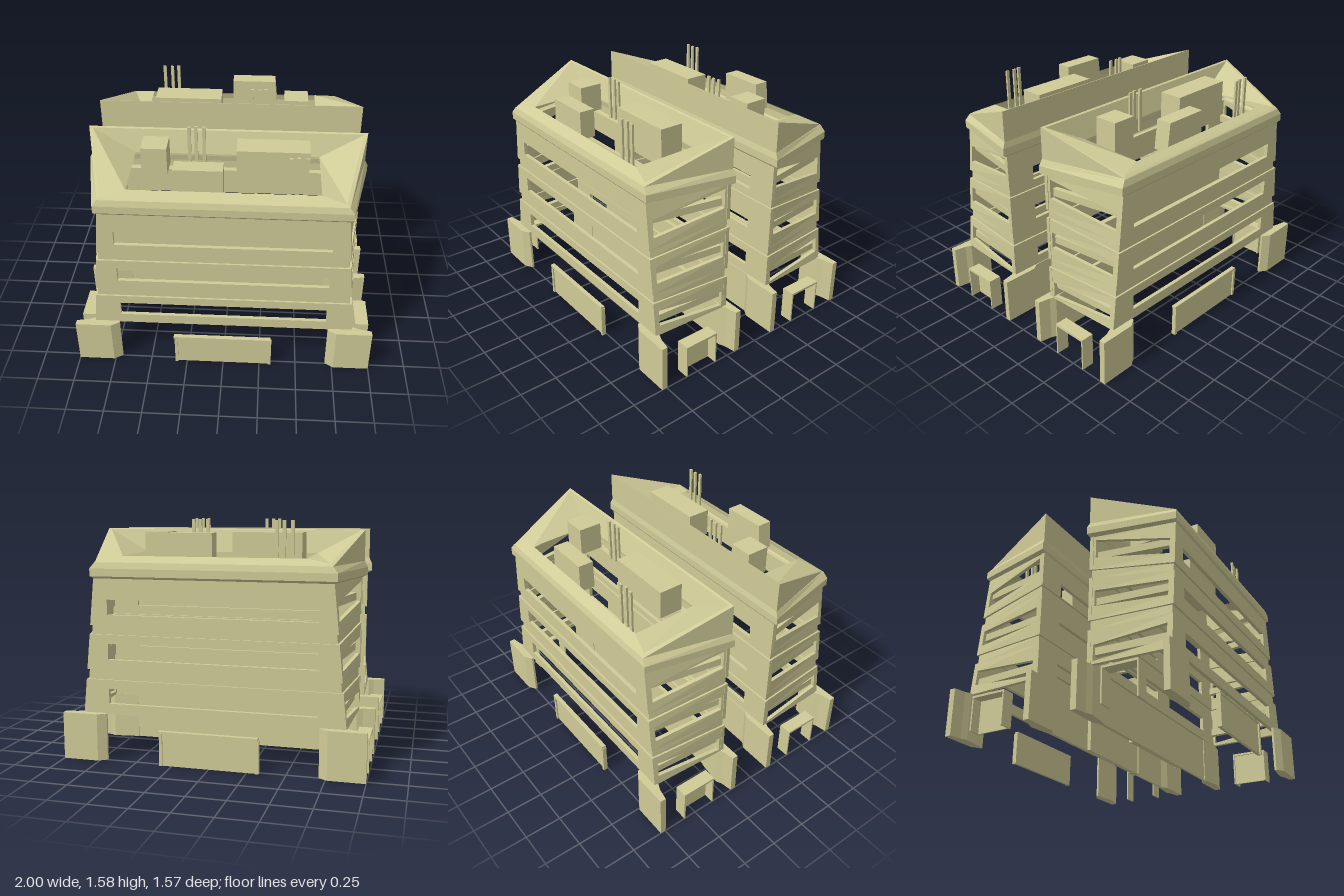
import * as THREE from 'three';

const concrete = new THREE.MeshStandardMaterial({ color: 0xd0cc98, side: THREE.DoubleSide });
concrete.name = 'paleConcrete';

const ZI = 0.18, ZO = 0.735; // courtyard-side and street-side wall planes

function add(parent, name, geometry) {
  const mesh = new THREE.Mesh(geometry, concrete);
  mesh.name = name;
  parent.add(mesh);
  return mesh;
}

function box(parent, name, x0, x1, y0, y1, z0, z1) {
  const g = new THREE.BoxGeometry(x1 - x0, y1 - y0, z1 - z0);
  g.translate((x0 + x1) / 2, (y0 + y1) / 2, (z0 + z1) / 2);
  return add(parent, name, g);
}

// Flat-shaded skin through a list of closed rings
function loft(rings) {
  const pos = [];
  for (let r = 0; r + 1 < rings.length; r++) {
    const a = rings[r], b = rings[r + 1], n = a.length;
    for (let i = 0; i < n; i++) {
      const j = (i + 1) % n;
      pos.push(...a[i], ...a[j], ...b[j], ...a[i], ...b[j], ...b[i]);
    }
  }
  const g = new THREE.BufferGeometry();
  g.setAttribute('position', new THREE.Float32BufferAttribute(pos, 3));
  g.computeVertexNormals();
  return g;
}

// Thick wall with one four-sided opening
function openWall(outer, hole, d) {
  const inset = ring => ring.map(p => p.map((v, k) => v + d[k]));
  return loft([outer, hole, inset(hole), inset(outer), outer]);
}

// Half-width of the tower: upright on the courtyard, tapering on the street
const streetX = y => 0.87 - 0.1 * (y - 0.31);
const halfX = (y, z) => THREE.MathUtils.lerp(0.895, streetX(y), (z - ZI) / (ZO - ZI));

// Trapezium ring: street edge then courtyard edge
const trapezium = (xo, yo, zo, xi, yi, zi) =>
  [[-xo, yo, zo], [xo, yo, zo], [xi, yi, zi], [-xi, yi, zi]];

const tiers = [
  { street: [0.31, 0.54], court: [0.31, 0.54], slot: [0.38, 0.48],
    winStreet: [0.375, 0.48], winCourt: [0.33, 0.435], bar: 0.38 },
  { street: [0.605, 0.84], court: [0.605, 0.905], slot: [0.675, 0.78],
    winStreet: [0.67, 0.78], winCourt: [0.7, 0.81], bar: 0.72 },
  { street: [0.9, 1.215], court: [0.965, 1.215], slot: [0.97, 1.07],
    winStreet: [0.975, 1.09], winCourt: [1.05, 1.18], bar: 1.055 },
];

function addTier(parent, t) {
  const at = (y, z) => [halfX(y, z), y, z];
  const flipX = ring => ring.map(([x, y, z]) => [-x, y, z]).reverse();

  // Long walls with a ribbon window
  const longWall = (z, [y0, y1]) => {
    const rect = (a, b, c, d) => [[-a, c, z], [a, c, z], [b, d, z], [-b, d, z]];
    return [rect(halfX(y0, z), halfX(y1, z), y0, y1), rect(0.69, 0.69, t.slot[0], t.slot[1])];
  };
  add(parent, 'streetWall', openWall(...longWall(ZO, t.street), [0, 0, -0.025]));
  const [wall, slot] = longWall(ZI, t.court);
  add(parent, 'courtyardWall', openWall(wall.reverse(), slot.reverse(), [0, 0, 0.025]));

  // End walls with slanted windows
  const frame = [at(t.street[0], ZO), at(t.court[0], ZI), at(t.court[1], ZI), at(t.street[1], ZO)];
  const win = [at(t.winStreet[0], 0.7), at(t.winCourt[0], 0.22),
    at(t.winCourt[1], 0.22), at(t.winStreet[1], 0.7)];
  add(parent, 'endWallLeft', openWall(frame, win, [-0.025, 0, 0]));
  add(parent, 'endWallRight', openWall(flipX(frame), flipX(win), [0.025, 0, 0]));

  // Horizontal bars behind the end windows
  for (const s of [1, -1]) {
    const section = z => {
      const x = halfX(t.bar, z) - 0.03, y0 = t.bar, y1 = t.bar + 0.05;
      const r = [[x - 0.035, y0, z], [x - 0.035, y1, z], [x, y1, z], [x, y0, z]];
      return s > 0 ? r : flipX(r);
    };
    add(parent, 'windowBar', loft([section(0.705), section(0.21)]));
  }
}

function addRoof(parent) {
  // Cornice, raked parapet and funnel down to the roof opening
  add(parent, 'corniceAndParapet', loft([
    trapezium(0.77, 1.2, 0.73, 0.885, 1.2, 0.185),
    trapezium(0.80, 1.22, 0.747, 0.925, 1.22, 0.172),
    trapezium(0.80, 1.27, 0.747, 0.925, 1.27, 0.172),
    trapezium(0.77, 1.31, 0.735, 0.905, 1.31, 0.18),
    trapezium(0.765, 1.315, 0.73, 0.905, 1.515, 0.18),
    trapezium(0.75, 1.325, 0.715, 0.88, 1.51, 0.195),
    trapezium(0.6, 1.35, 0.67, 0.6, 1.36, 0.24),
  ]));
  box(parent, 'roofUnit', 0.07, 0.53, 1.31, 1.5, 0.27, 0.43);
  box(parent, 'roofUnit', -0.535, -0.37, 1.31, 1.5, 0.27, 0.43);
  add(parent, 'slantedRoofUnit', new THREE.ExtrudeGeometry(
    new THREE.Shape([[-0.325, 1.31], [0, 1.31], [0, 1.5], [-0.305, 1.5]]
      .map(p => new THREE.Vector2(...p))),
    { depth: 0.105, bevelEnabled: false })).position.z = 0.565;
  for (const [x, z] of [[0.405, 0.63], [0.45, 0.622], [0.505, 0.627],
    [-0.24, 0.28], [-0.197, 0.271], [-0.145, 0.275]]) {
    box(parent, 'antenna', x - 0.011, x + 0.011, 1.29, 1.58, z - 0.007, z + 0.007);
  }
}

function addBase(parent) {
  // Flared corner piers, mirrored to all four corners
  const plan = [[1, 0.785], [0.76, 0.785], [0.705, 0.75], [0.705, 0.735],
    [0.88, 0.712], [0.92, 0.73], [1, 0.745]];
  for (const sx of [1, -1]) for (const court of [false, true]) {
    const shape = new THREE.Shape(plan.map(([x, z]) =>
      new THREE.Vector2(sx * x, -(court ? 0.93 - z : z))));
    const g = new THREE.ExtrudeGeometry(shape, { depth: 0.315, bevelEnabled: false });
    add(parent, 'cornerPier', g.rotateX(-Math.PI / 2));
  }
  // Courtyard ground wall and the two long door panels
  box(parent, 'groundWall', -0.72, 0.72, 0, 0.315, 0.175, 0.19);
  const doors = [['streetDoor', 0.755, 0.775, 0.785], ['courtyardDoor', 0.17, 0.155, 0.145]];
  for (const [name, back, face, rim] of doors) {
    const z = (a, b) => [Math.min(a, b), Math.max(a, b)];
    box(parent, name, -0.315, 0.315, 0, 0.215, ...z(back, face));
    box(parent, name + 'Lintel', -0.335, 0.325, 0.215, 0.23, ...z(back, rim));
    for (const s of [-1, 1]) {
      const x = s * 0.32;
      box(parent, name + 'Jamb', x - 0.01, x + 0.01, 0, 0.215, ...z(back, rim));
    }
  }
  // Side porches
  for (const s of [-1, 1]) {
    const x0 = s > 0 ? 0.91 : -1, x1 = x0 + 0.09;
    box(parent, 'porchRoof', x0, x1, 0.215, 0.23, 0.345, 0.59);
    box(parent, 'porchSide', x0, x1, 0, 0.215, 0.345, 0.355);
    box(parent, 'porchSide', x0, x1, 0, 0.215, 0.58, 0.59);
  }
  box(parent, 'porchDoor', 0.92, 0.93, 0, 0.215, 0.355, 0.58);
}

function createTower() {
  const tower = new THREE.Group();
  tiers.forEach(t => addTier(tower, t));
  // Recessed bands between the tiers
  for (let i = 0; i < 2; i++) {
    const ring = (yo, yi) => trapezium(streetX(yo) - 0.012, yo, ZO - 0.012,
      0.883, yi, ZI + 0.012);
    add(tower, 'recessedBand', loft([
      ring(tiers[i].street[1], tiers[i].court[1]),
      ring(tiers[i + 1].street[0], tiers[i + 1].court[0]),
    ]));
  }
  addRoof(tower);
  addBase(tower);
  return tower;
}

export function createModel() {
  const model = new THREE.Group();
  model.name = 'twinTowers';
  const front = createTower();
  front.name = 'frontBuilding';
  const back = createTower();
  back.name = 'backBuilding';
  back.rotation.y = Math.PI;
  model.add(front, back);
  return model;
}
